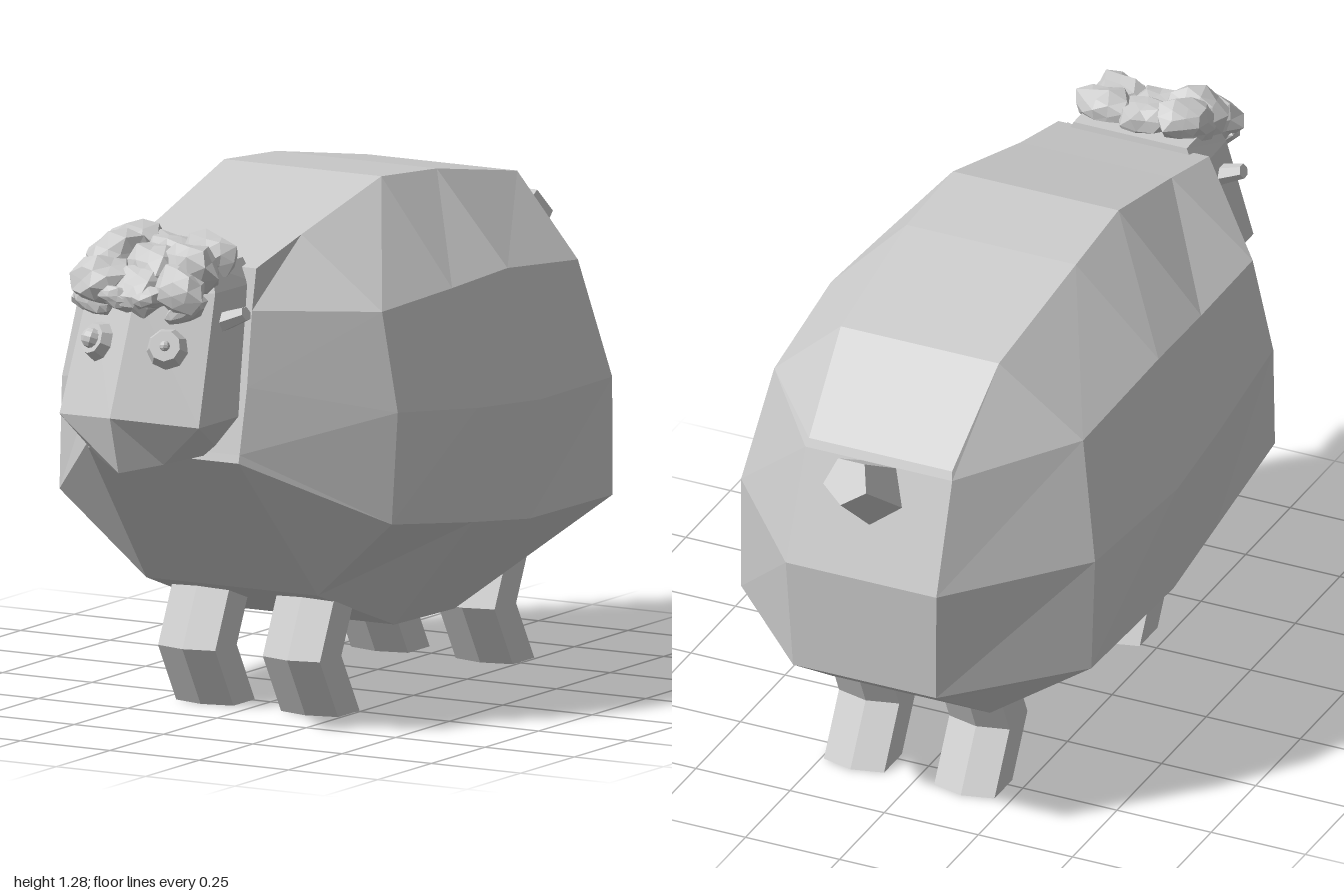
import * as THREE from 'three';

const grey = new THREE.MeshStandardMaterial({ color: 0xcccccc, flatShading: true });

function add(parent, name, geometry) {
  const mesh = new THREE.Mesh(geometry, grey);
  mesh.name = name;
  parent.add(mesh);
  return mesh;
}

// Lofts half cross-sections (points on the +x side), mirrored to closed loops and capped.
function loft(halfRings) {
  const rings = halfRings.map((half) => {
    const left = half.map((p) => new THREE.Vector3(...p));
    const right = half.map(([x, y, z]) => new THREE.Vector3(-x, y, z)).reverse();
    return [...left, ...right];
  });
  const n = rings[0].length;
  const out = [];
  const tri = (a, b, c) => {
    if (a.equals(b) || b.equals(c) || a.equals(c)) return;
    for (const v of [a, b, c]) out.push(v.x, v.y, v.z);
  };
  for (let i = 0; i < rings.length - 1; i++) {
    for (let j = 0; j < n; j++) {
      const k = (j + 1) % n;
      const [a, b, c, d] = [rings[i][j], rings[i][k], rings[i + 1][j], rings[i + 1][k]];
      tri(a, b, c);
      tri(b, d, c);
    }
  }
  const first = rings[0], last = rings[rings.length - 1];
  for (let j = 0; j < n / 2 - 1; j++) {
    const r = n - 1 - j;
    tri(first[j], first[r], first[j + 1]);
    tri(first[r], first[r - 1], first[j + 1]);
    tri(last[j], last[j + 1], last[r]);
    tri(last[r], last[j + 1], last[r - 1]);
  }
  const geometry = new THREE.BufferGeometry();
  geometry.setAttribute('position', new THREE.Float32BufferAttribute(out, 3));
  geometry.computeVertexNormals();
  return geometry;
}

// Faceted lump of wool: each vertex is pushed in or out by a rule on its position.
function lump(rx, ry, rz, seed) {
  const geometry = new THREE.IcosahedronGeometry(1, 1);
  const p = geometry.attributes.position;
  const v = new THREE.Vector3();
  for (let i = 0; i < p.count; i++) {
    v.fromBufferAttribute(p, i);
    const s = 1 + 0.16 * Math.sin(7 * v.x + 11 * v.y + 5 * v.z + seed * 2.3);
    p.setXYZ(i, v.x * rx * s, v.y * ry * s, v.z * rz * s);
  }
  geometry.computeVertexNormals();
  return geometry;
}

export function createModel() {
  const model = new THREE.Group();
  model.name = 'sheep';

  // Body: rings from chest to rump; each runs top, shoulder, flank, lower flank, belly
  add(model, 'body', loft([
    [[0.2, 1.14, 0.65], [0.2, 1.04, 0.67], [0.21, 0.86, 0.71], [0.21, 0.7, 0.745], [0.21, 0.68, 0.75]],
    [[0.2, 1.19, 0.44], [0.42, 1.02, 0.43], [0.47, 0.78, 0.44], [0.465, 0.51, 0.46], [0.24, 0.31, 0.43]],
    [[0.22, 1.28, 0.1], [0.43, 1.03, 0.12], [0.49, 0.74, 0.1], [0.475, 0.46, 0.1], [0.245, 0.185, 0.08]],
    [[0.225, 1.26, -0.15], [0.435, 1.04, -0.13], [0.505, 0.72, -0.17], [0.485, 0.43, -0.15], [0.245, 0.18, -0.2]],
    [[0.21, 1.19, -0.55], [0.41, 1.0, -0.5], [0.47, 0.71, -0.56], [0.465, 0.42, -0.57], [0.21, 0.25, -0.6]],
    [[0.19, 1.0, -0.77], [0.195, 0.98, -0.78], [0.2, 0.71, -0.88], [0.19, 0.42, -0.86], [0.19, 0.4, -0.83]],
  ]));

  // Head: rings from chin to crown; each runs front ridge, cheek, back
  const head = new THREE.Group();
  head.name = 'head';
  model.add(head);
  add(head, 'face', loft([
    [[0, 0.67, 0.96], [0.09, 0.69, 0.9], [0.12, 0.69, 0.68]],
    [[0, 0.81, 1.0], [0.195, 0.79, 0.91], [0.195, 0.79, 0.66]],
    [[0, 1.1, 0.88], [0.175, 1.1, 0.8], [0.18, 1.1, 0.62]],
    [[0, 1.16, 0.84], [0.15, 1.16, 0.78], [0.15, 1.16, 0.63]],
  ]));

  for (const side of [-1, 1]) {
    // Eyes: faceted discs lying on the sloping face, with uneven pupils
    const eye = new THREE.Group();
    eye.name = side > 0 ? 'leftEye' : 'rightEye';
    eye.position.set(side * 0.097, 0.977, 0.9);
    eye.rotation.set(-0.38, side * 0.36, 0, 'YXZ');
    add(eye, 'eyeball', new THREE.CylinderGeometry(0.038, 0.052, 0.035, 9).rotateX(Math.PI / 2));
    const r = side > 0 ? 0.013 : 0.025;
    add(eye, 'pupil', new THREE.SphereGeometry(r, 8, 6)).position.z = 0.018;
    head.add(eye);

    // Ears: small tapered leaves
    const ear = add(head, side > 0 ? 'leftEar' : 'rightEar',
      new THREE.CylinderGeometry(0.018, 0.028, 0.09, 6).scale(1, 1, 1.1));
    ear.position.set(side * 0.197, 1.035, 0.762);
    ear.rotation.z = -side * 1.2;
  }

  // Woolly topknot: overlapping lumps sloping down to the brow
  const wool = new THREE.Group();
  wool.name = 'topknot';
  head.add(wool);
  let seed = 1;
  for (const [z, y, h] of [[0.715, 1.17, 0.055], [0.79, 1.15, 0.065], [0.85, 1.11, 0.055]]) {
    for (const x of [-0.105, 0, 0.105]) {
      const curl = add(wool, 'curl', lump(0.08, h, 0.068, seed));
      curl.position.set(x, y + 0.012 * Math.sin(seed * 2.1), z);
      curl.rotation.set(0.3, seed, 0.2 * Math.sin(seed));
      seed++;
    }
  }
  // Fringe locks above the eyes
  for (const [x, y, z] of [[-0.12, 1.065, 0.87], [-0.055, 1.09, 0.89], [0.04, 1.09, 0.89], [0.13, 1.065, 0.86]]) {
    const lock = add(wool, 'fringeLock', lump(0.055, 0.028, 0.035, seed++));
    lock.position.set(x, y, z);
    lock.rotation.z = x * 3.5;
  }

  // Legs: bent six-sided prisms
  const legRing = (y, z) => [[0, y, z + 0.07], [0.08, y, z + 0.05], [0.08, y, z - 0.05], [0, y, z - 0.07]];
  for (const [end, z] of [['front', 0.29], ['hind', -0.525]]) {
    for (const [side, x] of [['Right', -0.13], ['Left', 0.163]]) {
      const leg = add(model, `${end}${side}Leg`,
        loft([legRing(0, 0), legRing(0.147, 0.085), legRing(0.33, 0)]));
      leg.position.set(x, 0, z);
    }
  }

  // Tail: five-sided stub rising from the rump
  const tail = add(model, 'tail', new THREE.CylinderGeometry(0.06, 0.088, 0.27, 5).rotateY(Math.PI));
  tail.position.set(0, 0.95, -0.85);
  tail.rotation.x = -0.97;

  return model;
}
